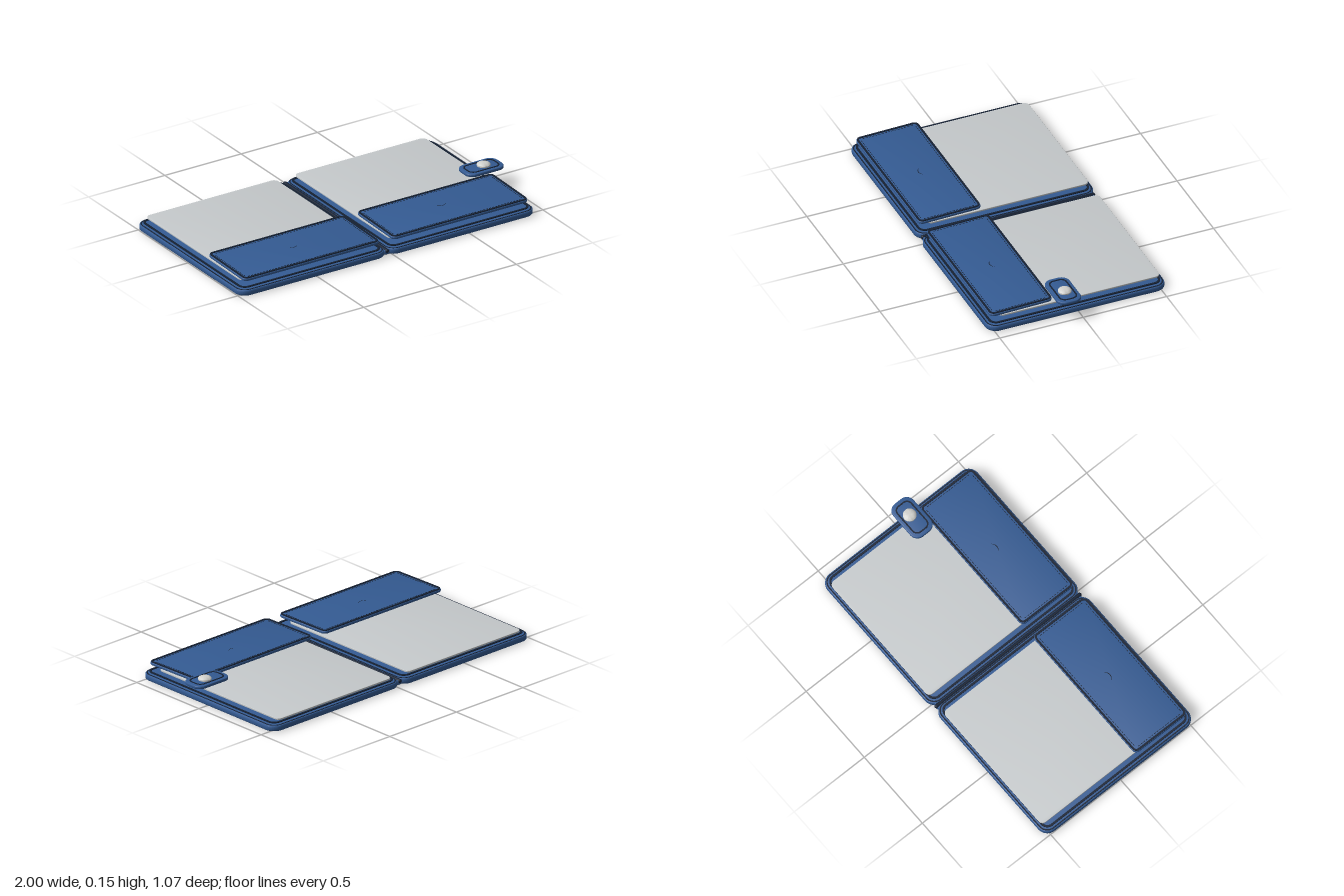
import * as THREE from 'three';
import { toCreasedNormals } from 'three/addons/utils/BufferGeometryUtils.js';

const mat = (name, color) => {
  const m = new THREE.MeshStandardMaterial({ color });
  m.name = name;
  return m;
};

// Rounded rectangle centred on the origin
function roundRect(w, d, r, Kind = THREE.Shape) {
  const s = new Kind(), x = w / 2, y = d / 2;
  s.moveTo(-x + r, -y);
  s.lineTo(x - r, -y);
  s.absarc(x - r, -y + r, r, -Math.PI / 2, 0);
  s.lineTo(x, y - r);
  s.absarc(x - r, y - r, r, 0, Math.PI / 2);
  s.lineTo(-x + r, y);
  s.absarc(-x + r, y - r, r, Math.PI / 2, Math.PI);
  s.lineTo(-x, -y + r);
  s.absarc(-x + r, -y + r, r, Math.PI, Math.PI * 1.5);
  return s;
}

// Flat slab lying in xz, base on y = 0, with rounded rims
function slab(name, w, d, h, r, bevel, material) {
  const b = bevel;
  const geo = new THREE.ExtrudeGeometry(roundRect(w - 2 * b, d - 2 * b, r - b), {
    depth: h - 2 * b, bevelEnabled: b > 0, bevelSize: b, bevelThickness: b, bevelSegments: 3, curveSegments: 8,
  });
  geo.translate(0, 0, b).rotateX(-Math.PI / 2);
  const mesh = new THREE.Mesh(toCreasedNormals(geo, 0.6), material);
  mesh.name = name;
  return mesh;
}

// Rounded rectangular frame lying in xz, base on y = 0
function frame(name, w, d, h, r, t, material) {
  const shape = roundRect(w, d, r);
  shape.holes.push(roundRect(w - 2 * t, d - 2 * t, Math.max(r - t, 0.004), THREE.Path));
  const geo = new THREE.ExtrudeGeometry(shape, { depth: h, bevelEnabled: false, curveSegments: 8 });
  geo.rotateX(-Math.PI / 2);
  const mesh = new THREE.Mesh(toCreasedNormals(geo, 0.6), material);
  mesh.name = name;
  return mesh;
}

export function createModel() {
  const blue = mat('blue leather', 0x345b93);
  const dark = mat('dark navy trim', 0x162133);
  const paper = mat('pale grey sheet', 0xc6cacc);
  const metal = mat('snap metal', 0xd2d2ce);

  const model = new THREE.Group();
  model.name = 'foldingCase';
  const add = (parent, mesh, x, y, z) => {
    mesh.position.set(x, y, z);
    parent.add(mesh);
    return mesh;
  };

  // Front pocket with piping, stitches and a thumb mark
  function pocket() {
    const g = new THREE.Group();
    g.name = 'pocket';
    const w = 0.89, d = 0.375, h = 0.016;
    add(g, slab('pocketPanel', w, d, h, 0.03, 0.004, blue), 0, 0, 0);
    add(g, frame('pocketPiping', w - 0.006, d - 0.006, 0.005, 0.028, 0.011, dark), 0, h - 0.001, 0);
    const stitch = (x, z, sx, sz) => {
      const m = add(g, new THREE.Mesh(new THREE.BoxGeometry(sx, 0.002, sz), dark), x, h + 0.0005, z);
      m.name = 'stitch';
    };
    const ix = w / 2 - 0.024, iz = d / 2 - 0.024;
    for (let i = 0; i < 42; i++)
      for (const s of [-1, 1]) stitch(-ix + 0.02 + i * (2 * ix - 0.04) / 41, s * iz, 0.012, 0.003);
    for (let i = 0; i < 16; i++)
      for (const s of [-1, 1]) stitch(s * ix, -iz + 0.02 + i * (2 * iz - 0.04) / 15, 0.003, 0.012);
    const crescent = new THREE.Shape();
    crescent.moveTo(-0.035, 0.006);
    crescent.quadraticCurveTo(0, -0.034, 0.035, 0.006);
    crescent.quadraticCurveTo(0, -0.024, -0.035, 0.006);
    const mark = new THREE.Mesh(new THREE.ShapeGeometry(crescent, 8).rotateX(-Math.PI / 2), dark);
    mark.name = 'thumbMark';
    add(g, mark, 0, h + 0.001, -0.012);
    g.rotation.x = 0.022;
    return g;
  }

  // Two matching halves of the open case
  for (const [side, cx] of [['right', -0.517], ['left', 0.457]]) {
    const half = new THREE.Group();
    half.name = side + 'Half';
    half.position.x = cx;
    model.add(half);
    const w = 0.966, d = 1.07;
    add(half, slab('cover', w, d, 0.034, 0.065, 0.009, blue), 0, 0, 0);
    add(half, frame('coverEdgeLine', w - 0.014, d - 0.014, 0.002, 0.058, 0.007, dark), 0, 0.033, 0);
    add(half, frame('raisedTrim', w - 0.044, d - 0.044, 0.005, 0.045, 0.012, dark), 0, 0.04, 0);
    add(half, slab('sheet', 0.855, 0.965, 0.01, 0.03, 0.002, paper), 0, 0.054, -0.033);
    add(half, pocket(), 0, 0.082, 0.324);
  }

  // Spine hinge: flexible strip and cord
  add(model, slab('spineStrip', 0.05, 1.03, 0.026, 0.02, 0.005, blue), -0.03, 0.004, 0);
  const cord = new THREE.Mesh(new THREE.CapsuleGeometry(0.012, 1.02, 6, 16).rotateX(Math.PI / 2), dark);
  cord.name = 'spineCord';
  add(model, cord, -0.03, 0.025, 0);

  // Closing tab with its snap button
  const tab = new THREE.Group();
  tab.name = 'closingTab';
  tab.position.set(0.878, 0.107, 0.068);
  model.add(tab);
  add(tab, slab('tabStrap', 0.244, 0.144, 0.018, 0.05, 0.005, blue), 0, 0, 0);
  add(tab, frame('tabTrim', 0.2, 0.106, 0.004, 0.036, 0.008, dark), 0, 0.0165, 0);
  const domePoints = [[0, 0], [0.038, 0], [0.038, 0.008], [0.034, 0.013], [0.024, 0.018], [0.012, 0.0205], [0, 0.021]];
  const snap = new THREE.Mesh(
    toCreasedNormals(new THREE.LatheGeometry(domePoints.map(([x, y]) => new THREE.Vector2(x, y)), 32), 0.6), metal);
  snap.name = 'snapButton';
  add(tab, snap, 0.017, 0.0175, -0.003);

  return model;
}
